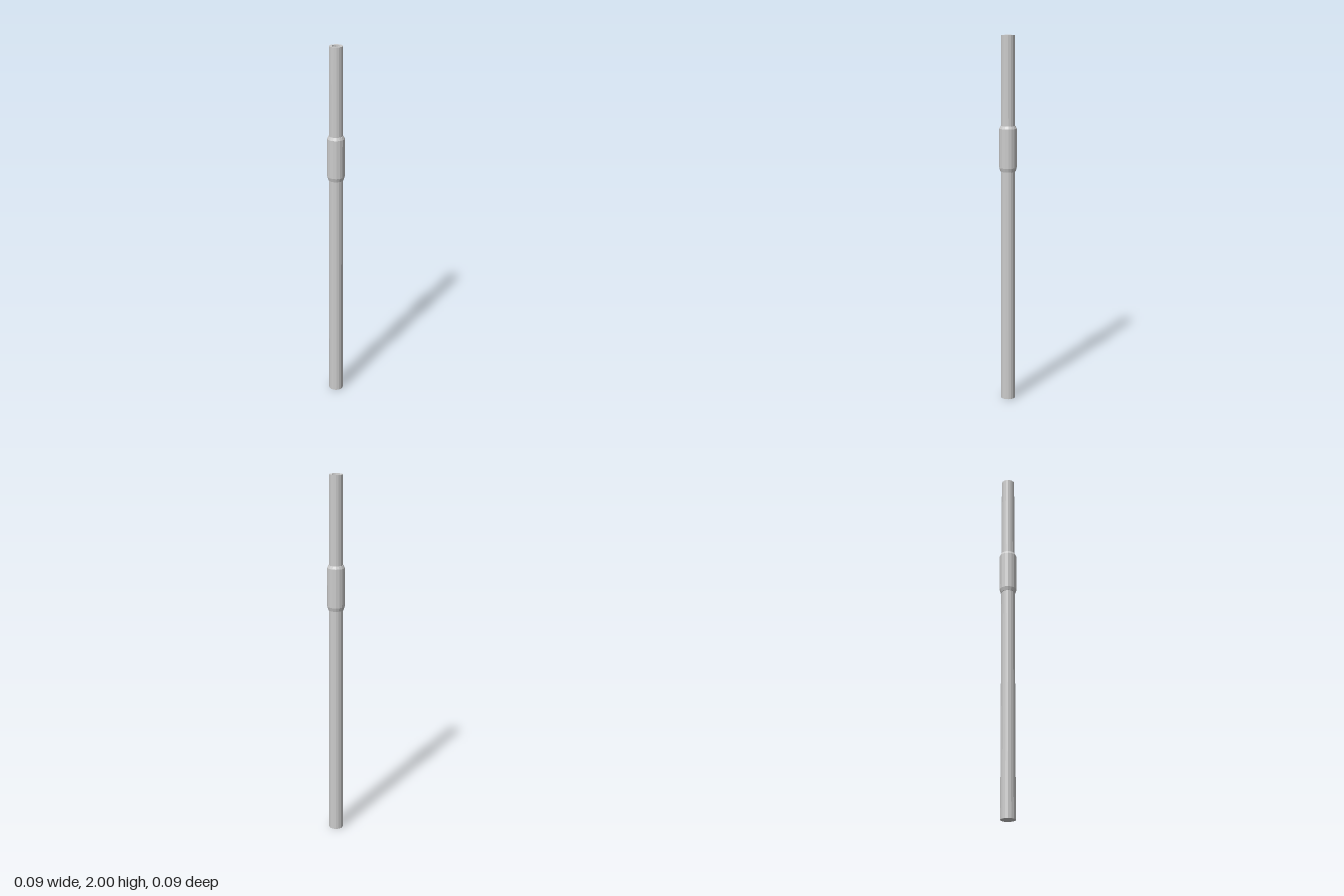
import * as THREE from 'three';

const SIDES = 16;

// Turned part from [radius, height] points listed bottom to top
function turned(name, points, material) {
  const profile = points.map(([r, y]) => new THREE.Vector2(r, y));
  const mesh = new THREE.Mesh(new THREE.LatheGeometry(profile, SIDES), material);
  mesh.name = name;
  return mesh;
}

export function createModel() {
  const group = new THREE.Group();
  group.name = 'rod';
  const material = new THREE.MeshStandardMaterial({ color: 0xcccccc, flatShading: true });

  // Slightly tapered shaft with a closed base and a blind bore in its top
  group.add(turned('shaft', [
    [0, 0], [0.04, 0], [0.036, 2], [0.021, 2], [0.021, 1.95], [0, 1.95],
  ], material));

  // Thicker sleeve with bevelled ends, closed onto the shaft
  group.add(turned('collar', [
    [0.036, 1.28], [0.041, 1.28], [0.047, 1.3], [0.047, 1.51], [0.04, 1.525], [0.036, 1.525],
  ], material));

  return group;
}
